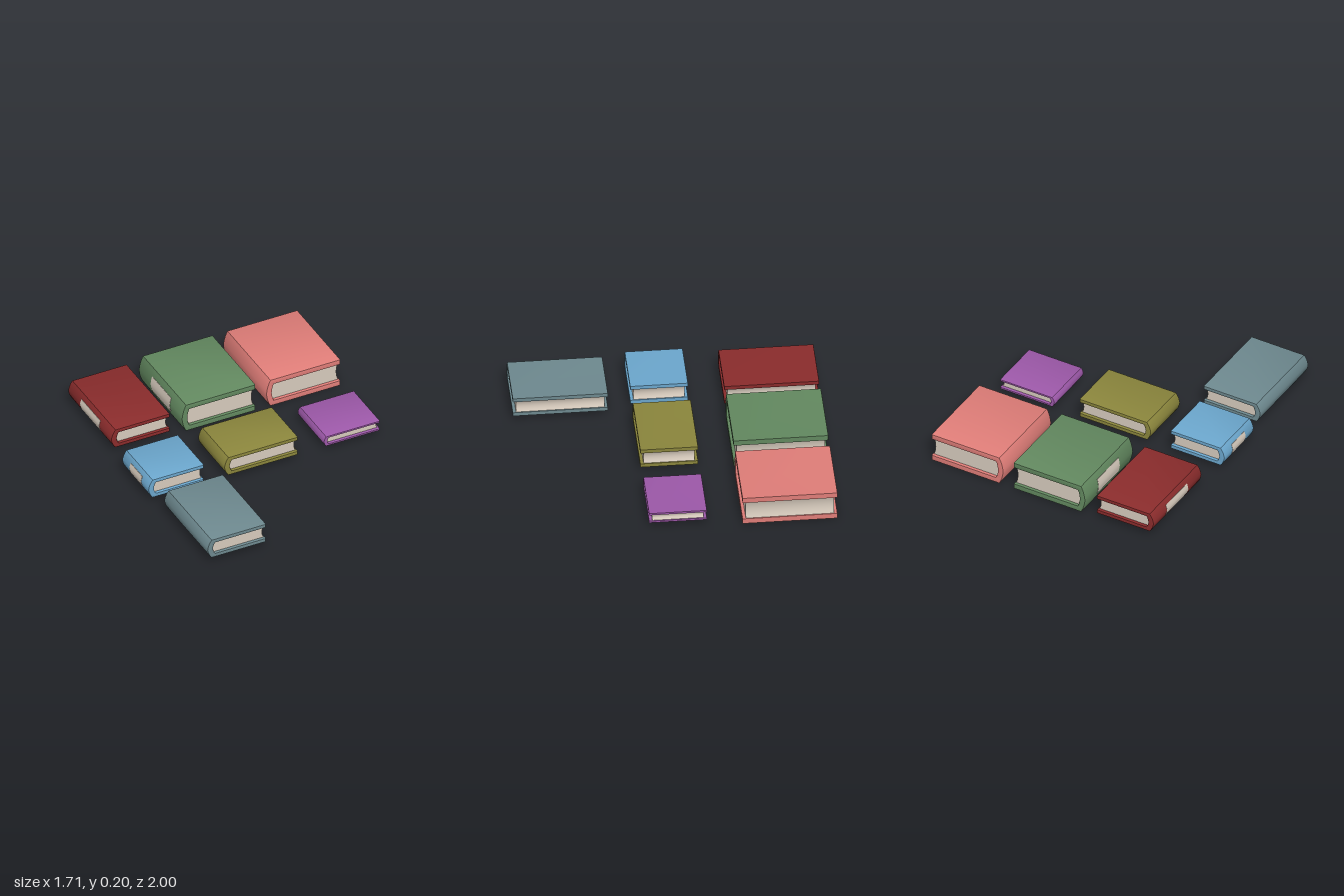
import * as THREE from 'three';
import { toCreasedNormals } from 'three/addons/utils/BufferGeometryUtils.js';

const PAPER = 0xd6cabc;

// x0..x1 runs from spine to fore-edge; y0..y1 is thickness; z0..z1 is page height
const BOOKS = [
  { name: 'redBook', color: 0x8a2c2c, x: [-0.815, -0.39], y: [0.035, 0.175], z: [-1, -0.38], board: 0.027, label: true },
  { name: 'greenBook', color: 0x62885f, x: [-0.3, 0.235], y: [0, 0.205], z: [-1, -0.38], board: 0.038, label: true },
  { name: 'coralBook', color: 0xdf7d78, x: [0.315, 0.853], y: [0, 0.205], z: [-1, -0.38], board: 0.038 },
  { name: 'blueBook', color: 0x6ba6cc, x: [-0.853, -0.45], y: [0.035, 0.175], z: [-0.15, 0.228], board: 0.027, label: true },
  { name: 'oliveBook', color: 0x8a853c, x: [-0.3, 0.235], y: [0.035, 0.175], z: [-0.15, 0.228], board: 0.027 },
  { name: 'purpleBook', color: 0x9c58a8, x: [0.425, 0.833], y: [0.035, 0.11], z: [-0.15, 0.228], board: 0.014 },
  { name: 'slateBook', color: 0x6d888e, x: [-0.815, -0.39], y: [0.035, 0.175], z: [0.378, 1], board: 0.027 },
];

// Rounded spine line from the top edge down to the bottom edge
function spineCurve(x, y0, y1, bulge) {
  const mid = (y0 + y1) / 2, q = (y1 - y0) * 0.2;
  const v = (a, b) => new THREE.Vector2(a, b);
  const upper = new THREE.QuadraticBezierCurve(v(x + bulge, y1), v(x + bulge * 0.2, y1 - q), v(x, mid)).getPoints(6);
  const lower = new THREE.QuadraticBezierCurve(v(x, mid), v(x + bulge * 0.2, y0 + q), v(x + bulge, y0)).getPoints(6);
  return [...upper, ...lower.slice(1)];
}

function extrudeZ(points, z0, z1, bevel, color, name) {
  const geo = new THREE.ExtrudeGeometry(new THREE.Shape(points), {
    depth: z1 - z0 - 2 * bevel, bevelEnabled: bevel > 0, bevelThickness: bevel,
    bevelSize: bevel, bevelOffset: -bevel, bevelSegments: 2,
  });
  geo.translate(0, 0, z0 + bevel);
  const mesh = new THREE.Mesh(toCreasedNormals(geo, 0.6), new THREE.MeshStandardMaterial({ color }));
  mesh.name = name;
  return mesh;
}

function makeBook({ name, color, x: [x0, x1], y: [y0, y1], z: [z0, z1], board, label }) {
  const book = new THREE.Group();
  book.name = name;
  const wall = Math.min(0.04, board + 0.013);
  const bulge = Math.min(0.03, (y1 - y0) * 0.22);
  const v = (a, b) => new THREE.Vector2(a, b);

  // Cover: two boards joined by the rounded spine
  const outer = spineCurve(x0, y0, y1, bulge);
  const inner = spineCurve(x0 + wall, y0 + board, y1 - board, bulge * 0.5).reverse();
  const profile = [v(x1, y1), ...outer, v(x1, y0), v(x1, y0 + board), ...inner, v(x1, y1 - board)];
  book.add(extrudeZ(profile, z0, z1, 0.004, color, 'cover'));

  // Page block with a slightly hollow fore-edge
  const px = x0 + wall - 0.005, pr = x1 - 0.006, lo = y0 + board - 0.001, hi = y1 - board + 0.001;
  const foreEdge = new THREE.QuadraticBezierCurve(v(pr, lo), v(pr - 0.025, (lo + hi) / 2), v(pr, hi)).getPoints(8);
  book.add(extrudeZ([v(px, hi), v(px, lo), ...foreEdge], z0 + 0.022, z1 - 0.022, 0, PAPER, 'pages'));

  // Pale label following the middle of the spine
  if (label) {
    const line = outer.slice(3, -3);
    const front = line.map((p) => v(p.x - 0.002, p.y));
    const back = line.map((p) => v(p.x + 0.004, p.y)).reverse();
    const mid = (z0 + z1) / 2, half = (z1 - z0) * 0.22;
    book.add(extrudeZ([...front, ...back], mid - half, mid + half, 0, PAPER, 'spineLabel'));
  }
  return book;
}

export function createModel() {
  const model = new THREE.Group();
  model.name = 'books';
  for (const spec of BOOKS) model.add(makeBook(spec));
  return model;
}
